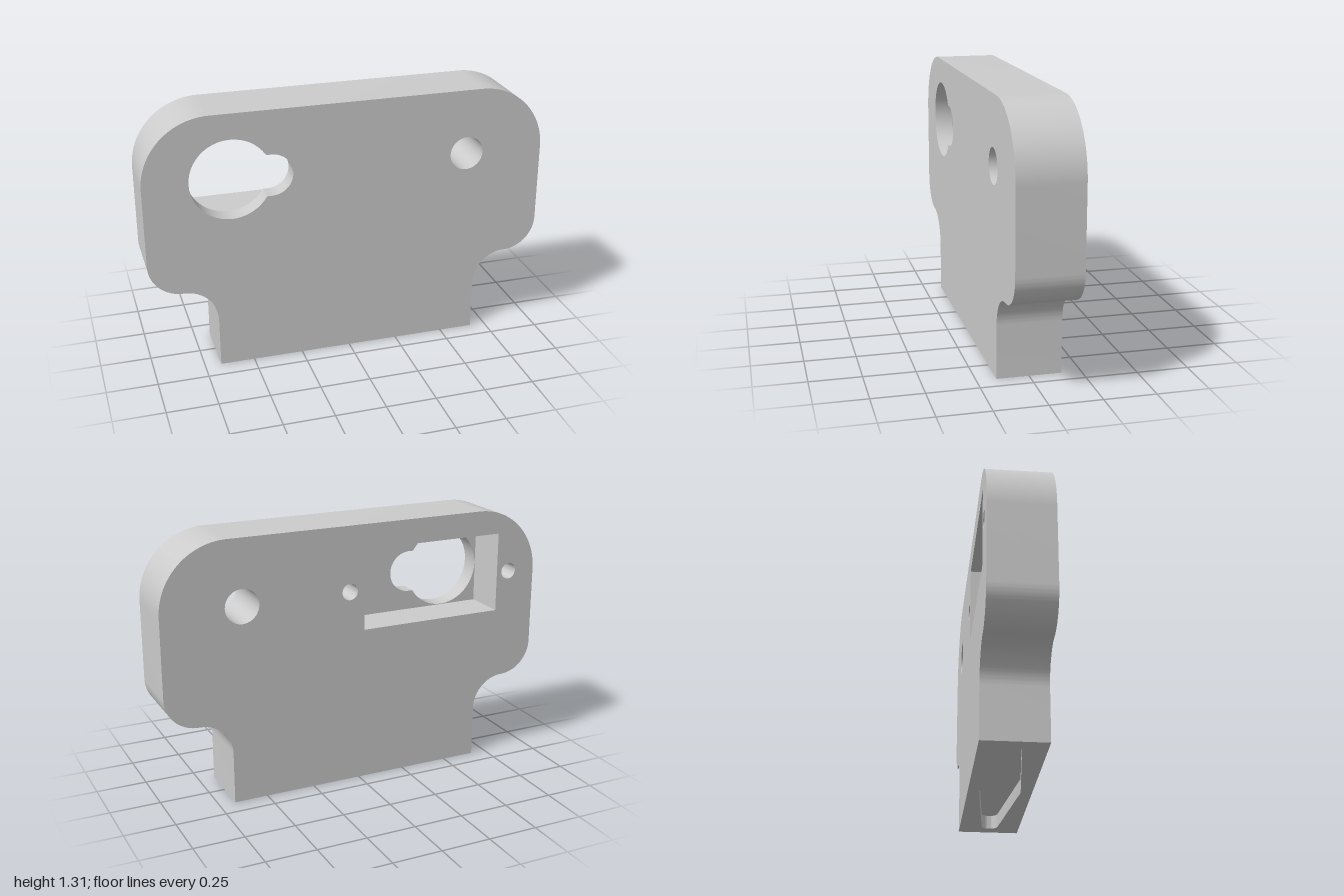
import * as THREE from 'three';
import { toCreasedNormals } from 'three/addons/utils/BufferGeometryUtils.js';

const PI = Math.PI;
const FRONT = 0.155, BACK = -0.155, FLOOR = 0.06; // z of the faces and of the pocket floor
const MID = 0.987;                                // height of all the holes
const SLOT_DEPTH = 0.07;

// Points of a path, counter-clockwise, without a repeated end point
function loop(draw) {
  const path = new THREE.Path();
  draw(path);
  const pts = path.getPoints(20);
  if (pts[0].distanceTo(pts[pts.length - 1]) < 1e-5) pts.pop();
  return THREE.ShapeUtils.isClockWise(pts) ? pts.reverse() : pts;
}

const circle = (x, y, r) => loop(p => p.absarc(x, y, r, 0, 2 * PI, false));

const rect = (x0, y0, x1, y1) =>
  [[x0, y0], [x1, y0], [x1, y1], [x0, y1]].map(([x, y]) => new THREE.Vector2(x, y));

// Flat face at depth z, optionally pierced, facing +z or (flipped) -z
function cap(pts, holes, z, flip = false) {
  const shape = new THREE.Shape(pts);
  shape.holes = holes.map(h => new THREE.Path(h));
  const geo = new THREE.ShapeGeometry(shape);
  if (flip) {
    geo.setIndex(Array.from(geo.index.array).reverse());
    geo.computeVertexNormals();
  }
  return geo.translate(0, 0, z);
}

// Wall swept along z; faces outward for an outline, inward for a hole
function wall(points, z0, z1, { hole = false, closed = true } = {}) {
  const pts = hole ? [...points].reverse() : points;
  const pos = [];
  const count = closed ? pts.length : pts.length - 1;
  for (let i = 0; i < count; i++) {
    const a = pts[i], b = pts[(i + 1) % pts.length];
    pos.push(a.x, a.y, z0, b.x, b.y, z0, b.x, b.y, z1);
    pos.push(a.x, a.y, z0, b.x, b.y, z1, a.x, a.y, z1);
  }
  const geo = new THREE.BufferGeometry();
  geo.setAttribute('position', new THREE.Float32BufferAttribute(pos, 3));
  return toCreasedNormals(geo, PI / 6);
}

export function createModel() {
  const model = new THREE.Group();
  const material = new THREE.MeshStandardMaterial({ color: 0xcccccc });
  const add = (name, geo, parent = model) => {
    const mesh = new THREE.Mesh(geo, material);
    mesh.name = name;
    parent.add(mesh);
  };

  // Plate outline from the bottom right corner round to the bottom left
  const outline = loop(p => {
    p.moveTo(0.67, 0);
    p.lineTo(0.67, 0.26);
    p.absarc(0.835, 0.26, 0.165, PI, PI / 2, true);
    p.absarc(0.835, 0.59, 0.165, -PI / 2, 0, false);
    p.absarc(0.67, 0.983, 0.33, 0, PI / 2, false);
    p.absarc(-0.67, 0.983, 0.33, PI / 2, PI, false);
    p.absarc(-0.835, 0.59, 0.165, PI, 1.5 * PI, false);
    p.absarc(-0.835, 0.26, 0.165, PI / 2, 0, true);
    p.lineTo(-0.67, 0);
  });

  // Openings
  const bite = Math.asin(0.105 / 0.2);
  const keyhole = loop(p => {
    p.absarc(-0.58, MID, 0.2, bite, 2 * PI - bite, false);
    p.absarc(-0.385, MID, 0.105, -PI / 2, PI / 2, false);
  });
  const pocket = rect(-0.782, MID - 0.202, -0.028, MID + 0.202);
  const throughHole = circle(0.603, MID, 0.085);
  const screwHoles = [-0.85, 0.05].map(x => circle(x, MID, 0.041));

  add('frontFace', cap(outline, [keyhole, throughHole], FRONT));
  add('backFace', cap(outline, [pocket, throughHole, ...screwHoles], BACK, true));
  add('plateRim', wall(outline, BACK, FRONT, { closed: false }));
  add('throughHole', wall(throughHole, BACK, FRONT, { hole: true }));
  add('keyhole', wall(keyhole, FLOOR, FRONT, { hole: true }));

  // Rectangular pocket and blind screw holes in the back
  add('pocketWalls', wall(pocket, BACK, FLOOR, { hole: true }));
  add('pocketFloor', cap(pocket, [keyhole], FLOOR, true));
  for (const hole of screwHoles) {
    add('screwHole', wall(hole, BACK, FLOOR, { hole: true }));
    add('screwHoleEnd', cap(hole, [], FLOOR, true));
  }

  // Underside with a shallow slot that widens to the middle
  const underside = new THREE.Group();
  underside.name = 'underside';
  underside.rotation.x = PI / 2;
  model.add(underside);
  const slot = loop(p => {
    p.absarc(0.56, 0, 0.042, -1.47, 1.47, false);
    p.lineTo(0, 0.1);
    p.absarc(-0.56, 0, 0.042, PI - 1.47, PI + 1.47, false);
    p.lineTo(0, -0.1);
  });
  add('bottomFace', cap(rect(-0.67, BACK, 0.67, FRONT), [slot], 0), underside);
  add('slotWalls', wall(slot, -SLOT_DEPTH, 0, { hole: true }), underside);
  add('slotFloor', cap(slot, [], -SLOT_DEPTH), underside);

  return model;
}
